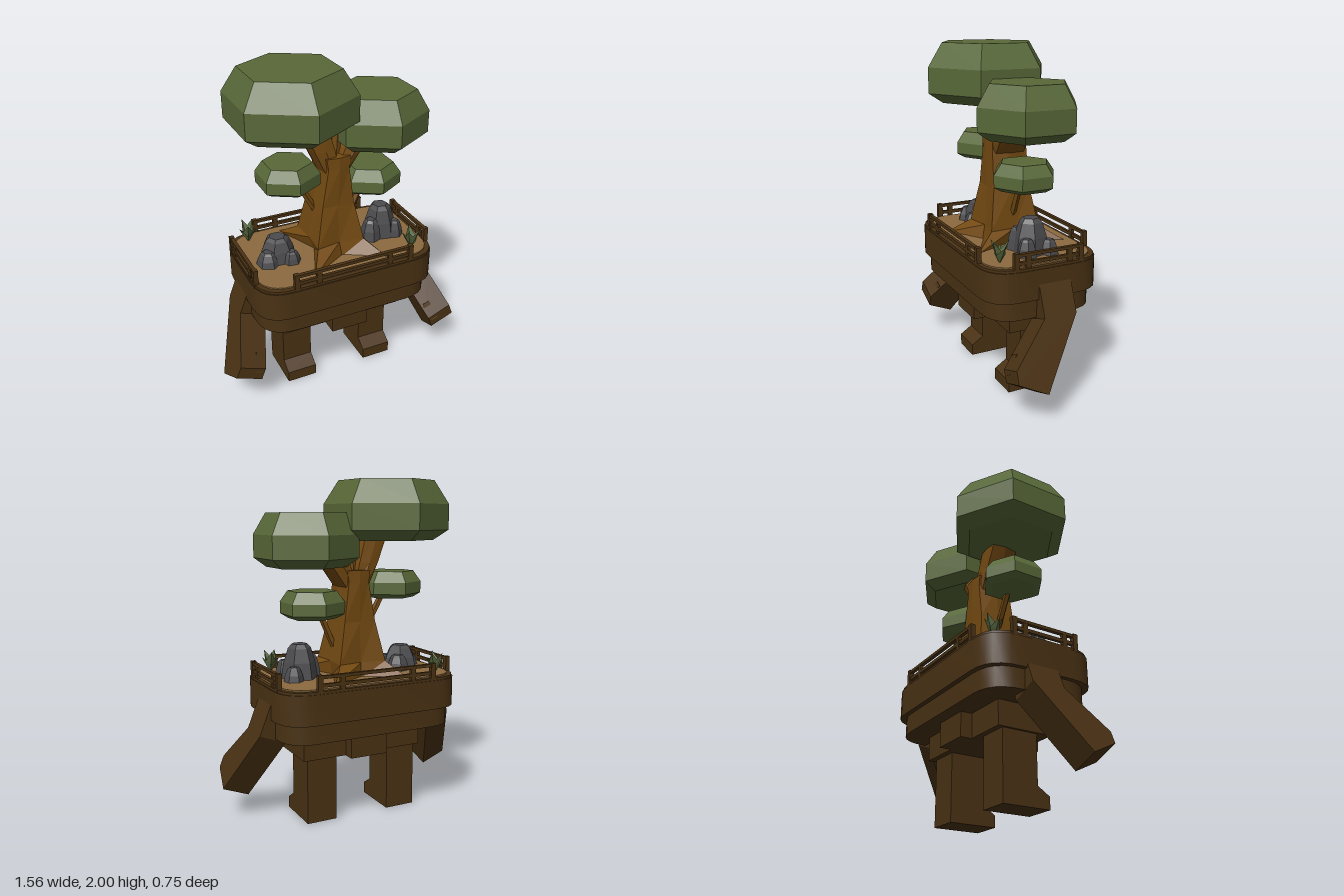
import * as THREE from 'three';
import { toCreasedNormals } from 'three/addons/utils/BufferGeometryUtils.js';

const mat = (color) => new THREE.MeshStandardMaterial({ color, flatShading: true });
const WOOD = new THREE.MeshStandardMaterial({ color: 0x4a3214 });
const BARK = mat(0x744a12), LEAF = mat(0x586838), ROCK = mat(0x4c4c4f);
const SAND = new THREE.MeshStandardMaterial({ color: 0x8b6a40 });
const PLANT = mat(0x5a6b40);
PLANT.side = THREE.DoubleSide;

function add(parent, name, geo, material, x = 0, y = 0, z = 0) {
  const m = new THREE.Mesh(geo, material);
  m.name = name;
  m.position.set(x, y, z);
  parent.add(m);
  return m;
}
const box = (parent, name, w, h, d, x, y, z, material = WOOD) =>
  add(parent, name, new THREE.BoxGeometry(w, h, d), material, x, y, z);

// Flat slab with rounded corners, rising from y0 to y1
function slab(parent, name, hx, hz, r, y0, y1, material) {
  const s = new THREE.Shape();
  s.moveTo(-hx + r, -hz);
  s.lineTo(hx - r, -hz);
  s.quadraticCurveTo(hx, -hz, hx, -hz + r);
  s.lineTo(hx, hz - r);
  s.quadraticCurveTo(hx, hz, hx - r, hz);
  s.lineTo(-hx + r, hz);
  s.quadraticCurveTo(-hx, hz, -hx, hz - r);
  s.lineTo(-hx, -hz + r);
  s.quadraticCurveTo(-hx, -hz, -hx + r, -hz);
  const g = new THREE.ExtrudeGeometry(s, { depth: y1 - y0, bevelEnabled: false, curveSegments: 6 });
  g.rotateX(-Math.PI / 2);
  return add(parent, name, toCreasedNormals(g, 0.6), material, -0.012, y0, 0);
}

// Side profile of [z, y] points extruded across x, centred on x = 0
function profile(points, width) {
  const s = new THREE.Shape(points.map(([z, y]) => new THREE.Vector2(-z, y)));
  const g = new THREE.ExtrudeGeometry(s, { depth: width, bevelEnabled: false });
  return g.translate(0, 0, -width / 2).rotateY(Math.PI / 2);
}

// Eight-sided loft; section = [cx, y, diagonalX, diagonalZ, sideX, sideZ]
function loft(sections) {
  const pos = [], idx = [];
  for (const [cx, y, dx, dz, sx, sz] of sections) {
    for (let i = 0; i < 8; i++) {
      const a = (i * Math.PI) / 4, c = Math.sign(Math.round(Math.cos(a) * 9)), s = Math.sign(Math.round(Math.sin(a) * 9));
      pos.push(cx + c * (i % 2 ? dx : sx), y, s * (i % 2 ? dz : sz));
    }
  }
  for (let r = 0; r < sections.length - 1; r++) {
    for (let i = 0; i < 8; i++) {
      const a = r * 8 + i, b = r * 8 + ((i + 1) % 8);
      idx.push(a, a + 8, b, b, a + 8, b + 8);
    }
  }
  const top = (sections.length - 1) * 8;
  for (let i = 1; i < 7; i++) idx.push(top, top + i + 1, top + i);
  const g = new THREE.BufferGeometry();
  g.setAttribute('position', new THREE.Float32BufferAttribute(pos, 3));
  g.setIndex(idx);
  g.computeVertexNormals();
  return g;
}

// Six-sided leaf crown with sloped top and underside
function canopy(parent, name, x, y0, y1, r) {
  const h = y1 - y0, p = [[0, 0], [r * 0.76, 0], [r, h * 0.17], [r, h * 0.6], [r * 0.76, h], [0, h]];
  const g = new THREE.LatheGeometry(p.map(([a, b]) => new THREE.Vector2(a, b)), 6);
  add(parent, name, g, LEAF, x, y0, 0);
}

// Railing along x: two end posts, two inner posts, two bars
function railing(parent, name, half) {
  const g = new THREE.Group();
  g.name = name;
  for (const s of [-1, 1]) {
    box(g, 'endPost', 0.03, 0.11, 0.028, s * (half - 0.015), 0.885, 0);
    box(g, 'innerPost', 0.03, 0.085, 0.02, s * half * 0.6, 0.885, 0);
  }
  box(g, 'topRail', 2 * half - 0.03, 0.018, 0.022, 0, 0.927, 0);
  box(g, 'lowerRail', 2 * half - 0.03, 0.02, 0.018, 0, 0.88, 0);
  parent.add(g);
  return g;
}

// Leaning leaf cluster
function plant(parent, name, x, z) {
  const g = new THREE.Group();
  g.name = name;
  g.position.set(x, 0.85, z);
  for (let i = 0; i < 5; i++) {
    const h = i % 2 ? 0.1 : 0.135, w = 0.032;
    const leaf = new THREE.BufferGeometry();
    leaf.setAttribute('position', new THREE.Float32BufferAttribute(
      [0, 0, 0, w, h * 0.55, 0.012, 0, h, 0.055, -w, h * 0.55, 0.012, 0, h * 0.5, 0.03], 3));
    leaf.setIndex([0, 1, 4, 1, 2, 4, 2, 3, 4, 3, 0, 4]);
    leaf.computeVertexNormals();
    add(g, 'leaf', leaf, PLANT).rotation.y = (i * Math.PI * 2) / 5 + (z > 0 ? 0.4 : 3.5);
  }
  parent.add(g);
}

export function createModel() {
  const model = new THREE.Group();
  model.name = 'walkingTreePlatform';

  // Platform
  slab(model, 'lowerHull', 0.55, 0.328, 0.19, 0.545, 0.66, WOOD);
  slab(model, 'upperHull', 0.575, 0.357, 0.19, 0.66, 0.835, WOOD);
  slab(model, 'deckRim', 0.57, 0.352, 0.19, 0.835, 0.85, WOOD);
  slab(model, 'sandFloor', 0.545, 0.327, 0.175, 0.835, 0.858, SAND);

  // Railings on all four sides
  for (const s of [-1, 1]) {
    railing(model, s > 0 ? 'frontRailing' : 'backRailing', 0.38).position.set(-0.01, 0, s * 0.34);
    const side = railing(model, s > 0 ? 'leftRailing' : 'rightRailing', 0.215);
    side.position.set(-0.014 + s * 0.556, 0, 0);
    side.rotation.y = Math.PI / 2;
  }

  // Hips, legs and arms, mirrored
  box(model, 'pelvis', 0.235, 0.15, 0.515, 0, 0.475, 0.007);
  const legShape = [[-0.145, 0], [0.147, 0], [0.147, 0.07], [0.072, 0.118], [0.072, 0.38], [0.085, 0.45], [0.085, 0.52], [-0.145, 0.52]];
  const armShape = [[-0.13, 0], [-0.13, -0.2], [0.12, -0.6], [0.285, -0.515], [0.285, -0.44], [0.07, -0.2], [0.07, 0]];
  for (const s of [-1, 1]) {
    const side = s > 0 ? 'left' : 'right';
    box(model, side + 'Hip', 0.27, 0.15, 0.34, s * 0.25, 0.475, -0.01);
    add(model, side + 'Leg', profile(legShape, 0.188), WOOD, s * 0.266 - 0.01, 0, 0);
    const arm = new THREE.Group();
    arm.name = side + 'Arm';
    arm.position.set(s * 0.558, 0.76, 0);
    arm.rotation.z = s * 0.375;
    add(arm, 'forearm', profile(armShape, 0.165), WOOD, -s * 0.0825, 0, 0);
    box(arm, 'thumb', 0.05, 0.12, 0.05, -s * 0.125, -0.43, 0.235).rotation.x = -0.55;
    model.add(arm);
  }

  // Trunk with flared roots and forked boughs
  const tree = new THREE.Group();
  tree.name = 'tree';
  model.add(tree);
  add(tree, 'trunk', loft([
    [0, 0.85, 0.24, 0.29, 0.12, 0.15],
    [-0.01, 0.94, 0.15, 0.155, 0.14, 0.13],
    [-0.01, 1.18, 0.1, 0.115, 0.11, 0.115],
    [-0.005, 1.41, 0.065, 0.11, 0.085, 0.12],
    [-0.005, 1.48, 0.075, 0.11, 0.1, 0.12],
  ]), BARK);
  add(tree, 'rightBough', loft([
    [-0.03, 1.38, 0.045, 0.09, 0.06, 0.11],
    [-0.08, 1.52, 0.06, 0.09, 0.075, 0.1],
    [-0.135, 1.68, 0.07, 0.08, 0.085, 0.09],
  ]), BARK);
  add(tree, 'leftBough', loft([
    [0.025, 1.38, 0.04, 0.09, 0.055, 0.11],
    [0.105, 1.52, 0.06, 0.09, 0.085, 0.11],
    [0.17, 1.6, 0.06, 0.08, 0.08, 0.1],
  ]), BARK);
  add(tree, 'middleBough', loft([
    [0, 1.44, 0.03, 0.05, 0.04, 0.06],
    [0.02, 1.7, 0.025, 0.04, 0.035, 0.05],
  ]), BARK);

  // Thin side twigs
  const twigs = [[-0.09, 1.09, -0.23, 1.34], [0.09, 0.99, 0.2, 1.24]];
  for (const [x0, y0, x1, y1] of twigs) {
    const path = new THREE.LineCurve3(new THREE.Vector3(x0, y0, 0), new THREE.Vector3(x1, y1, 0));
    add(tree, 'twig', new THREE.TubeGeometry(path, 1, 0.02, 5), BARK);
  }

  // Crowns
  canopy(tree, 'largeCanopy', -0.245, 1.65, 2.0, 0.376);
  canopy(tree, 'mediumCanopy', 0.28, 1.503, 1.81, 0.305);
  canopy(tree, 'rightSmallCanopy', -0.275, 1.305, 1.465, 0.188);
  canopy(tree, 'leftSmallCanopy', 0.245, 1.205, 1.365, 0.19);

  // Rock clusters: x, z, top height, base radius, turn
  const rocks = [
    [0.33, 0, 1.06, 0.11, 0.3], [0.25, 0.04, 0.99, 0.07, 0.9], [0.4, 0.06, 0.96, 0.06, 0.2], [0.4, -0.08, 0.94, 0.06, 1.2],
    [-0.355, 0, 1.0, 0.115, 0.5], [-0.43, 0.05, 0.94, 0.075, 0.1], [-0.3, -0.07, 0.95, 0.07, 0.8], [-0.3, 0.08, 0.93, 0.06, 0.4],
  ];
  for (const [x, z, top, r, turn] of rocks) {
    const h = top - 0.85;
    const p = [[r, 0], [r * 0.85, h * 0.5], [r * 0.62, h * 0.88], [r * 0.42, h], [0, h]];
    const g = new THREE.LatheGeometry(p.map(([a, b]) => new THREE.Vector2(a, b)), 6);
    add(model, 'rock', g, ROCK, x, 0.85, z).rotation.y = turn;
  }

  // Plants in opposite corners
  plant(model, 'frontPlant', 0.42, 0.24);
  plant(model, 'backPlant', -0.45, -0.25);
  return model;
}
